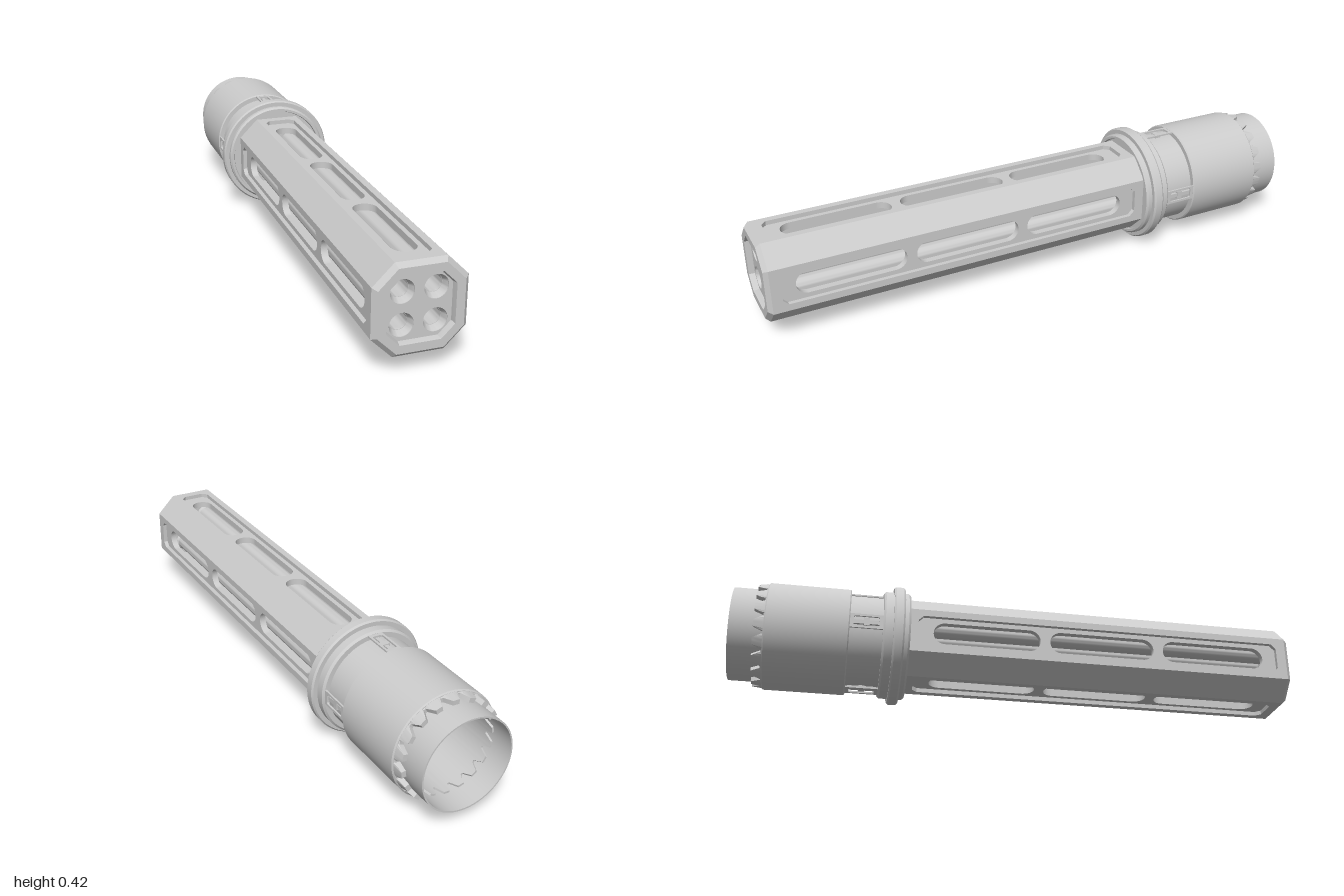
import * as THREE from 'three';
import { toCreasedNormals } from 'three/addons/utils/BufferGeometryUtils.js';

const material = new THREE.MeshStandardMaterial({ color: 0xcccccc });
const BARREL = 0.052; // barrel offset from the axis
const corners = [[1, 1], [-1, 1], [-1, -1], [1, -1]];

function add(parent, name, geometry) {
  const mesh = new THREE.Mesh(geometry, material);
  mesh.name = name;
  parent.add(mesh);
  return mesh;
}

// Solid of revolution around z from [radius, z] points, outer side first, z rising
function turned(points, segments = 64) {
  const g = new THREE.LatheGeometry(points.map(([r, z]) => new THREE.Vector2(r, z)), segments);
  return toCreasedNormals(g.rotateX(Math.PI / 2), 0.5);
}

// Closed pipe between two z positions
const pipe = (outer, inner, z0, z1, segments) =>
  turned([[inner, z0], [outer, z0], [outer, z1], [inner, z1], [inner, z0]], segments);

const polygon = (pts) => new THREE.Shape(pts.map(([x, y]) => new THREE.Vector2(x, y)));
const extrude = (shape, depth) => new THREE.ExtrudeGeometry(shape, { depth, bevelEnabled: false, curveSegments: 16 });

// Rectangle with cut corners
function cutRect(x0, x1, y0, y1, c) {
  return [[x0 + c, y0], [x1 - c, y0], [x1, y0 + c], [x1, y1 - c],
    [x1 - c, y1], [x0 + c, y1], [x0, y1 - c], [x0, y0 + c]];
}

// Slot with round ends, along y
function slot(r, y0, y1) {
  const p = new THREE.Path();
  p.absarc(0, y1 - r, r, 0, Math.PI, false);
  p.absarc(0, y0 + r, r, Math.PI, Math.PI * 2, false);
  p.closePath();
  return p;
}

// Skin between equally sized rings of [x, y, z] points
function loft(rows) {
  const pos = [];
  for (let i = 0; i < rows.length - 1; i++) {
    const n = rows[i].length;
    for (let j = 0; j < n; j++) {
      const k = (j + 1) % n;
      const a = rows[i][j], b = rows[i][k], c = rows[i + 1][k], d = rows[i + 1][j];
      pos.push(...a, ...b, ...c, ...a, ...c, ...d);
    }
  }
  const g = new THREE.BufferGeometry();
  g.setAttribute('position', new THREE.Float32BufferAttribute(pos, 3));
  return toCreasedNormals(g, 0.4);
}

// Ring whose rear edge is cut into trapezoid teeth
function toothedRing(inner, outer, tip, zFront, zRoot, zTip) {
  const teeth = 18, steps = 8;
  const wave = [0, 0, 0.5, 1, 1, 1, 1, 0.5];
  const row = (r, fixed) => Array.from({ length: teeth * steps }, (_, i) => {
    const t = (i / (teeth * steps)) * Math.PI * 2;
    const z = fixed ?? zRoot + (zTip - zRoot) * wave[i % steps];
    return [r * Math.cos(t), r * Math.sin(t), z];
  });
  return loft([row(inner, zFront), row(inner), row(tip), row(outer, zFront)]);
}

function addBarrelHoles(shape, radius) {
  for (const [sx, sy] of corners) {
    const hole = new THREE.Path();
    hole.absarc(sx * BARREL, sy * BARREL, radius, 0, Math.PI * 2, true);
    shape.holes.push(hole);
  }
  return shape;
}

function buildShroud(root) {
  const z0 = -0.4, z1 = 0.985, H = 0.147, C = 0.08;
  const plate = () => polygon([[-C, z0], [C, z0], [C, z1], [-C, z1]]);

  // Outer layer with the long pocket, inner layer with three slots
  const outer = plate();
  outer.holes.push(polygon(cutRect(-0.056, 0.056, -0.365, 0.95, 0.018)));
  const inner = plate();
  for (const end of [0.9, 0.485, 0.07]) inner.holes.push(slot(0.04, end - 0.38, end));
  const outerGeo = extrude(outer, 0.015).rotateX(Math.PI / 2).translate(0, H, 0);
  const innerGeo = extrude(inner, 0.023).rotateX(Math.PI / 2).translate(0, H - 0.015, 0);
  const diagonal = polygon([[H, C], [C, H], [C, 0.109], [0.109, C]]);
  const diagonalGeo = extrude(diagonal, z1 - z0).translate(0, 0, z0);

  for (let k = 0; k < 4; k++) {
    const side = new THREE.Group();
    side.name = 'shroudSide';
    side.rotation.z = k * Math.PI / 2;
    add(side, 'pocketFrame', outerGeo);
    add(side, 'slottedWall', innerGeo);
    add(side, 'diagonalWall', diagonalGeo);
    root.add(side);
  }

  // Bevelled nose rim and recessed muzzle plate
  const rim = (h, c, z) => cutRect(-h, h, -h, h, h - c).map(([x, y]) => [x, y, z]);
  add(root, 'noseRim', loft([rim(H, C, z1), rim(0.133, 0.073, 1), rim(0.106, 0.064, 1),
    rim(0.101, 0.061, 0.975), rim(0.101, 0.061, 0.95)]));
  const muzzle = addBarrelHoles(polygon(cutRect(-0.11, 0.11, -0.11, 0.11, 0.044)), 0.038);
  add(root, 'muzzlePlate', extrude(muzzle, 0.03).translate(0, 0, 0.95));
}

function buildBarrels(root) {
  const barrel = pipe(0.031, 0.028, -0.48, 0.955, 32);
  const mouth = turned([[0.038, 0.95], [0.039, 0.98], [0.028, 0.953], [0.028, 0.94], [0.038, 0.95]], 32);
  for (const [sx, sy] of corners) {
    for (const [name, geo] of [['barrel', barrel], ['barrelMouth', mouth]]) {
      add(root, name, geo).position.set(sx * BARREL, sy * BARREL, 0);
    }
  }
}

function buildRear(root) {
  // Bulkhead that carries the barrels
  const disc = new THREE.Shape().absarc(0, 0, 0.176, 0, Math.PI * 2, false);
  add(root, 'bulkhead', extrude(addBarrelHoles(disc, 0.03), 0.075).translate(0, 0, -0.475));

  // Stepped collar with a wide flange
  add(root, 'collar', turned([
    [0.155, -0.487], [0.183, -0.487], [0.19, -0.48], [0.19, -0.452], [0.205, -0.452], [0.21, -0.446],
    [0.21, -0.42], [0.205, -0.414], [0.19, -0.414], [0.19, -0.4], [0.184, -0.393], [0.175, -0.393],
    [0.172, -0.402], [0.155, -0.402], [0.155, -0.487]], 80));

  // Thin tube open at the rear, with the sleeve around it
  add(root, 'tailTube', pipe(0.162, 0.157, -1, -0.48, 80));
  add(root, 'neck', pipe(0.166, 0.156, -0.61, -0.48, 80));
  add(root, 'sleeve', turned([
    [0.16, -0.884], [0.183, -0.884], [0.187, -0.88], [0.187, -0.604], [0.183, -0.6],
    [0.16, -0.6], [0.16, -0.884]], 80));
  add(root, 'toothedRing', toothedRing(0.161, 0.183, 0.178, -0.88, -0.887, -0.918));
  add(root, 'toothedLiner', toothedRing(0.15, 0.156, 0.157, -0.48, -0.887, -0.918));

  // Four latches bridging collar and sleeve
  const frame = polygon([[-0.026, -0.605], [0.026, -0.605], [0.026, -0.48], [-0.026, -0.48]]);
  frame.holes.push(polygon(cutRect(-0.018, 0.018, -0.588, -0.5, 0.004)));
  const frameGeo = extrude(frame, 0.006).rotateX(Math.PI / 2).translate(0, 0.182, 0);
  for (let k = 0; k < 4; k++) {
    const latch = new THREE.Group();
    latch.name = 'latch';
    latch.rotation.z = k * Math.PI / 2;
    add(latch, 'latchFrame', frameGeo);
    add(latch, 'latchTongue', new THREE.BoxGeometry(0.014, 0.01, 0.1)).position.set(0, 0.17, -0.543);
    add(latch, 'latchCatch', new THREE.BoxGeometry(0.028, 0.012, 0.02)).position.set(0, 0.172, -0.543);
    root.add(latch);
  }
}

export function createModel() {
  const model = new THREE.Group();
  model.name = 'slottedBarrelAssembly';
  const body = new THREE.Group();
  body.name = 'body';
  body.position.y = 0.21;
  buildShroud(body);
  buildBarrels(body);
  buildRear(body);
  model.add(body);
  return model;
}
